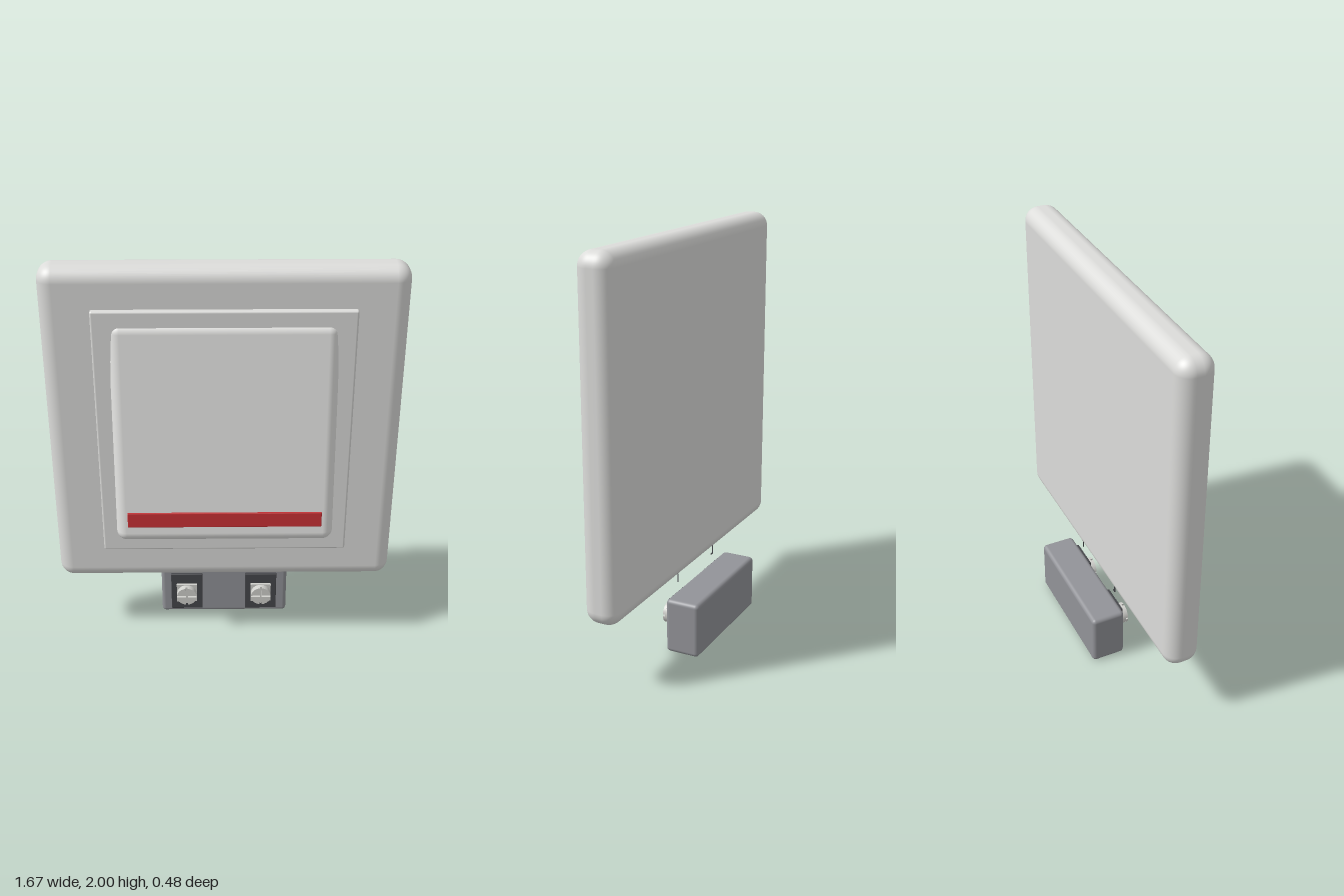
import * as THREE from 'three';
import { RoundedBoxGeometry } from 'three/addons/geometries/RoundedBoxGeometry.js';

function material(name, color) {
  const m = new THREE.MeshStandardMaterial({ color });
  m.name = name;
  return m;
}

export function createModel() {
  const model = new THREE.Group();
  model.name = 'wallSwitch';
  const plateWhite = material('plateWhite', 0xdcdcda);
  const rockerWhite = material('rockerWhite', 0xe4e4e2);
  const red = material('red', 0xc22e32);
  const blockGrey = material('blockGrey', 0x929398);
  const darkGrey = material('darkGrey', 0x46474b);
  const metal = material('metal', 0xd0d0cc);

  function add(parent, name, geometry, mat, x, y, z) {
    const mesh = new THREE.Mesh(geometry, mat);
    mesh.name = name;
    mesh.position.set(x, y, z);
    parent.add(mesh);
    return mesh;
  }
  const rounded = (w, h, d, r) => new RoundedBoxGeometry(w, h, d, 6, r);

  // Wall plate and the raised inner frame
  add(model, 'wallPlate', rounded(1.67, 1.665, 0.174, 0.07), plateWhite, 0, 1.1675, 0);
  add(model, 'innerFrame', rounded(1.2, 1.28, 0.06, 0.01), plateWhite, 0, 1.17, 0.083);

  // Tilted rocker, its top end sunk into the frame, with the red strip
  const rocker = new THREE.Group();
  rocker.name = 'rocker';
  rocker.position.set(0, 1.2, 0.125);
  rocker.rotation.x = -0.107;
  model.add(rocker);
  add(rocker, 'rockerPaddle', rounded(1.045, 1.1, 0.11, 0.05), rockerWhite, 0, 0, 0);
  add(rocker, 'indicatorStrip', rounded(0.93, 0.075, 0.02, 0.004), red, 0, -0.425, 0.055);

  // Terminal block below the plate
  add(model, 'terminalBlock', rounded(0.66, 0.275, 0.172, 0.02), blockGrey, 0, 0.1375, -0.156);

  // One quarter of a cross-slotted screw head
  const R = 0.052, g = 0.005;
  const a = Math.asin(g / R);
  const quarter = new THREE.Shape();
  quarter.moveTo(g, g);
  quarter.lineTo(R * Math.cos(a), g);
  quarter.absarc(0, 0, R, a, Math.PI / 2 - a, false);
  quarter.closePath();
  const quarterGeometry = new THREE.ExtrudeGeometry(quarter, {
    depth: 0.012, bevelEnabled: false, curveSegments: 10,
  });

  // Terminals: dark seat, square clamp, slotted screw and thin wire
  for (const x of [-0.197, 0.193]) {
    const terminal = new THREE.Group();
    terminal.name = 'terminal';
    terminal.position.set(x, 0.14, 0);
    model.add(terminal);
    add(terminal, 'terminalSeat', rounded(0.164, 0.22, 0.024, 0.003), darkGrey, 0, 0, -0.067);
    add(terminal, 'clampPlate', new THREE.BoxGeometry(0.106, 0.106, 0.016), metal, 0, 0, -0.048);
    const head = new THREE.CylinderGeometry(R, R, 0.02, 40);
    head.rotateX(Math.PI / 2);
    add(terminal, 'screwHead', head, metal, 0, 0, -0.031);
    for (let i = 0; i < 4; i++) {
      add(terminal, 'screwQuarter', quarterGeometry, metal, 0, 0, -0.021)
        .rotation.z = i * Math.PI / 2;
    }
    add(terminal, 'wire', new THREE.BoxGeometry(0.005, 0.045, 0.005), darkGrey, -0.005, 0.19, -0.064);
  }
  add(model, 'wireHook', new THREE.BoxGeometry(0.02, 0.005, 0.005), darkGrey, -0.195, 0.31, -0.064);

  return model;
}
